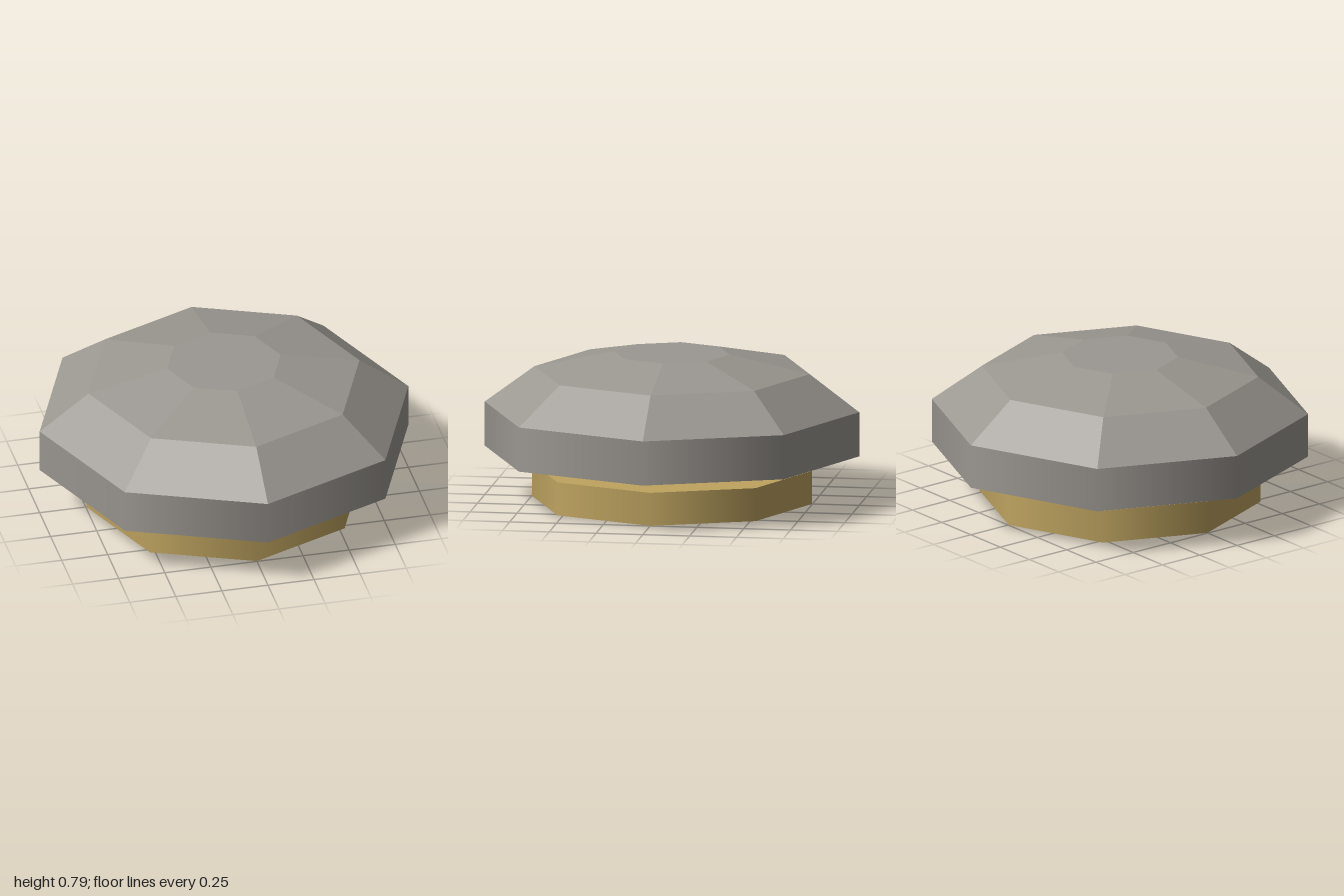
import * as THREE from 'three';

const SIDES = 8;

// Octagonal surface of revolution, faceted or smooth round its sides
function lathe(points, flat) {
  const geo = new THREE.LatheGeometry(points.map(([r, y]) => new THREE.Vector2(r, y)), SIDES);
  if (!flat) return geo;
  const faceted = geo.toNonIndexed();
  faceted.computeVertexNormals();
  return faceted;
}

// Octagonal disc or rod standing between two heights
function prism(radius, bottom, top) {
  return new THREE.CylinderGeometry(radius, radius, top - bottom, SIDES)
    .translate(0, (bottom + top) / 2, 0);
}

export function createModel() {
  const group = new THREE.Group();
  const grey = new THREE.MeshStandardMaterial({ color: 0x9b9791 });
  grey.name = 'warm grey';
  const brass = new THREE.MeshStandardMaterial({ color: 0xbfa460 });
  brass.name = 'brass';

  const add = (name, geometry, material) => {
    const mesh = new THREE.Mesh(geometry, material);
    mesh.name = name;
    group.add(mesh);
  };

  // Cap: faceted crown, smooth outer wall, hollow underside
  add('capCrown', lathe([[1, 0.5], [0.735, 0.697], [0.308, 0.79], [0, 0.79]], true), grey);
  add('capWall', lathe([[1, 0.263], [1, 0.5]], false), grey);
  add('capUnderside', lathe([[0, 0.7], [0.31, 0.7], [0.85, 0.263], [1, 0.263]], true), grey);

  // Foot, collar and the stem that carries the cap
  add('footDisc', prism(0.747, 0, 0.177), brass);
  add('collar', prism(0.173, 0.177, 0.252), brass);
  add('stem', prism(0.09, 0.252, 0.7), brass);

  return group;
}
